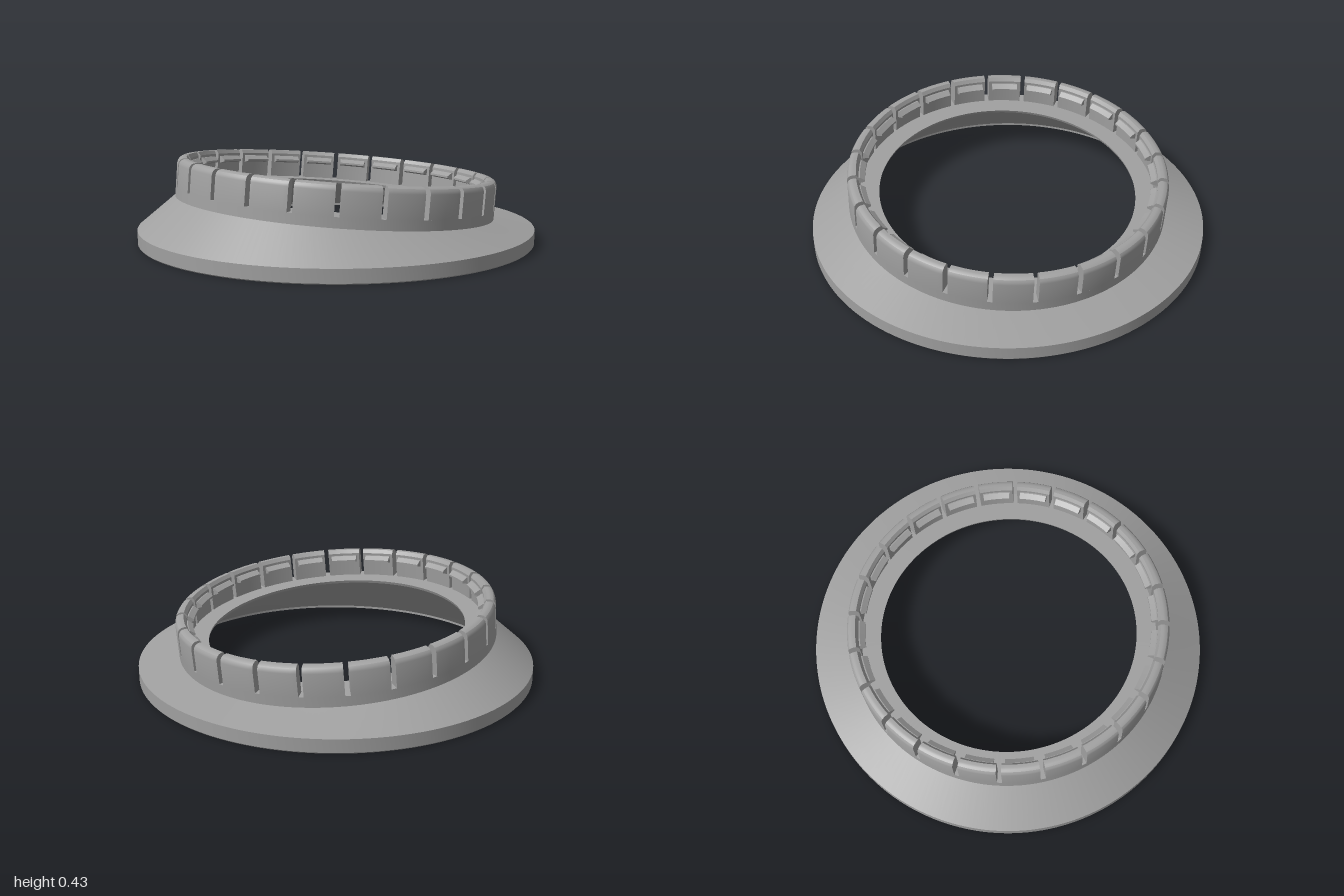
import * as THREE from 'three';
import { toCreasedNormals } from 'three/addons/utils/BufferGeometryUtils.js';

const TABS = 24;
const TILT = THREE.MathUtils.degToRad(-5);
const COLLAR_Y = 0.17;
const COLLAR_X = -0.008;

// Solid with an [r, y] profile swept around the y axis from angle a0 to a1
function arcSolid(profile, a0, a1, steps) {
  const shape = new THREE.Shape(profile.map(([r, y]) => new THREE.Vector2(r, y)));
  const geo = new THREE.ExtrudeGeometry(shape, { depth: 1, steps, bevelEnabled: false });
  const p = geo.attributes.position;
  for (let i = 0; i < p.count; i++) {
    const r = p.getX(i);
    const a = a0 + (a1 - a0) * p.getZ(i);
    p.setXYZ(i, r * Math.cos(a), p.getY(i), r * Math.sin(a));
  }
  return toCreasedNormals(geo, 0.4);
}

// Flared skirt: level at the foot, tilted at the collar (third value 1 = tilted row)
function skirtGeometry() {
  const rows = [
    [0.925, 0, 0], [0.996, 0, 0], [1, 0.005, 0], [1, 0.07, 0],
    [0.805, 0, 1], [0.805, 0.05, 1], [0.65, 0.05, 1], [0.655, 0.035, 1],
    [0.68, 0.01, 1], [0.925, 0.012, 0], [0.925, 0, 0],
  ];
  const geo = new THREE.LatheGeometry(rows.map(([r, y]) => new THREE.Vector2(r, y)), 192);
  const tilt = new THREE.Matrix4().makeRotationZ(TILT).setPosition(COLLAR_X, COLLAR_Y, 0);
  const p = geo.attributes.position;
  const v = new THREE.Vector3();
  for (let i = 0; i < p.count; i++) {
    if (!rows[i % rows.length][2]) continue;
    v.fromBufferAttribute(p, i).applyMatrix4(tilt);
    p.setXYZ(i, v.x, v.y, v.z);
  }
  return toCreasedNormals(geo, 0.4);
}

export function createModel() {
  const model = new THREE.Group();
  model.name = 'slottedCollarRing';
  const grey = new THREE.MeshStandardMaterial({ color: 0xa0a0a0 });
  grey.name = 'plain grey';

  const skirt = new THREE.Mesh(skirtGeometry(), grey);
  skirt.name = 'flaredSkirt';
  model.add(skirt);

  // Tilted collar of separate tabs, each with a small catch inside
  const collar = new THREE.Group();
  collar.name = 'collar';
  collar.position.set(COLLAR_X, COLLAR_Y, 0);
  collar.rotation.z = TILT;
  model.add(collar);

  const tabProfile = [
    [0.748, 0.05], [0.805, 0.05], [0.805, 0.165], [0.802, 0.178],
    [0.795, 0.188], [0.785, 0.194], [0.774, 0.196], [0.76, 0.196], [0.748, 0.178],
  ];
  const catchProfile = [
    [0.75, 0.128], [0.75, 0.165], [0.742, 0.165], [0.717, 0.148], [0.717, 0.138],
  ];
  const pitch = (Math.PI * 2) / TABS;
  const halfSlot = 0.0125 / 0.8;
  const tabGeo = arcSolid(tabProfile, halfSlot, pitch - halfSlot, 8);
  const catchGeo = arcSolid(catchProfile, pitch * 0.14, pitch * 0.86, 6);

  for (let i = 0; i < TABS; i++) {
    const tab = new THREE.Group();
    tab.name = `tab${i + 1}`;
    tab.rotation.y = i * pitch;
    const wall = new THREE.Mesh(tabGeo, grey);
    wall.name = 'tabWall';
    const ridge = new THREE.Mesh(catchGeo, grey);
    ridge.name = 'tabCatch';
    tab.add(wall, ridge);
    collar.add(tab);
  }
  return model;
}
